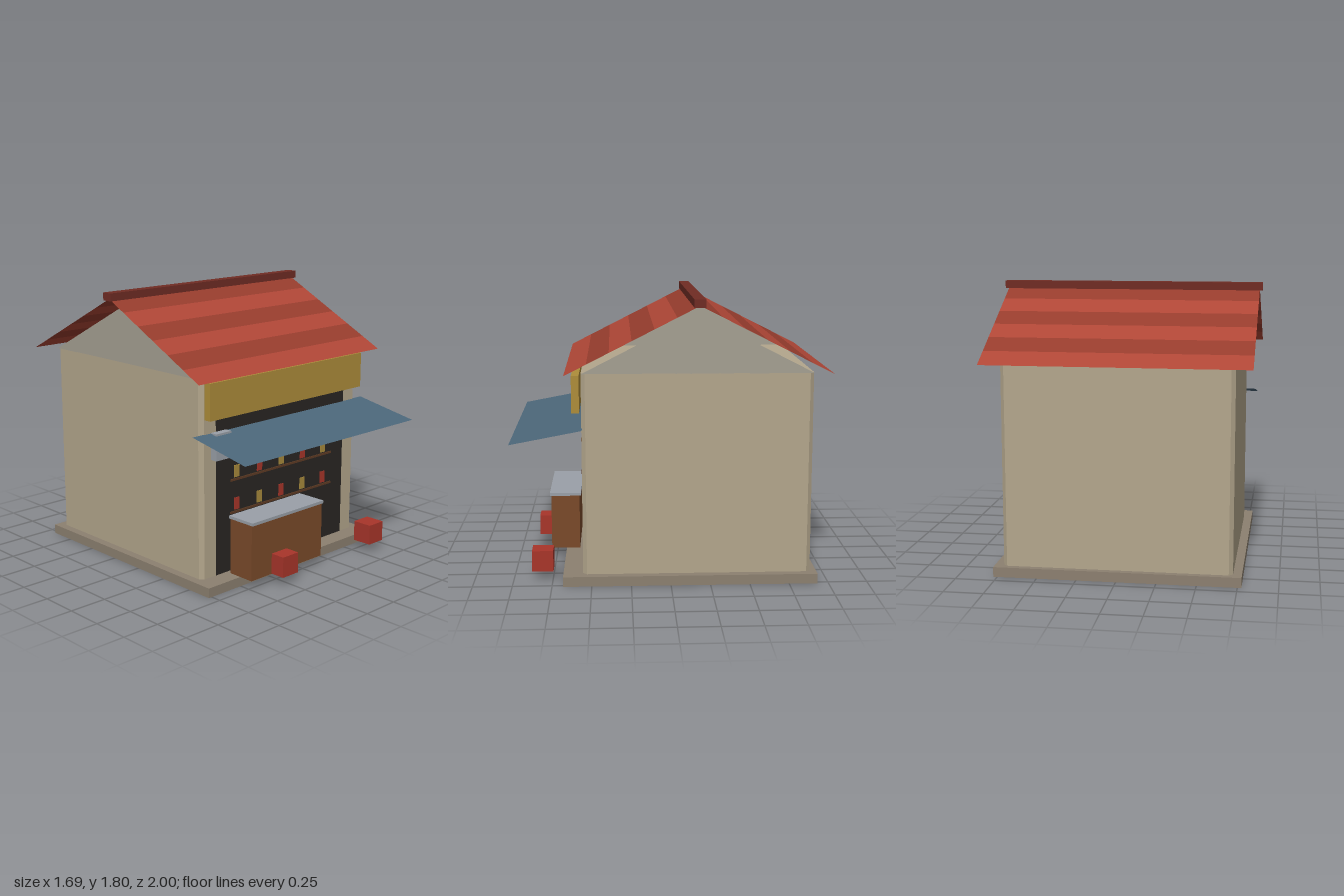
import * as THREE from 'three';

const mat = (color, side = THREE.FrontSide) =>
  new THREE.MeshStandardMaterial({ color, side, flatShading: true });

const M = {
  wall: mat(0xb3a68c), gable: mat(0xa5a092, THREE.DoubleSide), base: mat(0x8c8070),
  roofLight: mat(0xaf4636, THREE.DoubleSide), roofDark: mat(0x963c2d, THREE.DoubleSide),
  ridge: mat(0x702c24), awning: mat(0x4c677a, THREE.DoubleSide), sign: mat(0xae8d3a),
  dark: mat(0x2a2623), wood: mat(0x7a4a2a), shelf: mat(0x5e3b24), metal: mat(0x9aa0a8),
  red: mat(0xa8352a), yellow: mat(0xa88a3c),
};

export function createModel() {
  const model = new THREE.Group();

  const add = (name, geometry, material, parent = model) => {
    const mesh = new THREE.Mesh(geometry, material);
    mesh.name = name;
    parent.add(mesh);
    return mesh;
  };

  // Box given by its extents along each axis
  const box = (name, [x0, x1], [y0, y1], [z0, z1], material, parent) => {
    const mesh = add(name, new THREE.BoxGeometry(x1 - x0, y1 - y0, z1 - z0), material, parent);
    mesh.position.set((x0 + x1) / 2, (y0 + y1) / 2, (z0 + z1) / 2);
    return mesh;
  };

  // Thin sheet spanning x = -w..w between two (y, z) edges
  const sheet = (name, w, [ya, za], [yb, zb], material, parent) => {
    const g = new THREE.BufferGeometry();
    g.setAttribute('position', new THREE.Float32BufferAttribute(
      [-w, ya, za, -w, yb, zb, w, yb, zb, w, ya, za], 3));
    g.setIndex([0, 1, 2, 0, 2, 3]);
    g.computeVertexNormals();
    return add(name, g, material, parent);
  };

  // Ground slab
  box('base', [-0.775, 0.775], [0, 0.063], [-0.93, 0.68], M.base);

  // Walls: rectangular plan with chamfered corners, extruded upwards
  const W = 0.72, zFront = 0.555, zBack = -0.89, zMid = -0.1675, c = 0.025;
  const plan = new THREE.Shape([
    [-W + c, -zFront], [W - c, -zFront], [W, -zFront + c], [W, -zBack - c],
    [W - c, -zBack], [-W + c, -zBack], [-W, -zBack - c], [-W, -zFront + c],
  ].map(([x, y]) => new THREE.Vector2(x, y)));
  const walls = add('walls', new THREE.ExtrudeGeometry(plan,
    { depth: 1.28, bevelEnabled: false }), M.wall);
  walls.rotation.x = -Math.PI / 2;
  walls.position.y = 0.062;

  // Gable triangles on both sides
  const half = (zFront - zBack) / 2;
  const triangle = new THREE.Shape([
    new THREE.Vector2(-half, 0), new THREE.Vector2(half, 0), new THREE.Vector2(0, 0.37)]);
  for (const s of [1, -1]) {
    const gable = add(s > 0 ? 'leftGable' : 'rightGable',
      new THREE.ShapeGeometry(triangle), M.gable);
    gable.rotation.y = s * Math.PI / 2;
    gable.position.set(s * W, 1.34, zMid);
  }

  // Roof: two thin slopes, each of six alternating bands
  const roof = new THREE.Group();
  roof.name = 'roof';
  model.add(roof);
  const bands = 6, run = 0.828, ridgeY = 1.765, eaveY = 1.345, zRidge = -0.172;
  for (const s of [1, -1]) {
    const at = (t) => [ridgeY + (eaveY - ridgeY) * t, zRidge + s * run * t];
    for (let i = 0; i < bands; i++) {
      const edges = [at(i / bands), at((i + 1) / bands)];
      if (s < 0) edges.reverse();
      // Order of edges keeps the upper face in front
      sheet('roofBand', 0.828, edges[0], edges[1], i % 2 ? M.roofLight : M.roofDark, roof);
    }
  }
  box('ridgeCap', [-0.847, 0.847], [1.755, 1.805], [-0.207, -0.135], M.ridge, roof);

  // Shop front
  box('signBoard', [-0.7, 0.7], [1.095, 1.328], [0.567, 0.615], M.sign);
  box('shopOpening', [-0.597, 0.593], [0.063, 1.09], [0.53, 0.557], M.dark);
  sheet('awning', 0.785, [1.0, 0.55], [0.915, 1.0], M.awning);
  box('wallUnit', [-0.64, -0.513], [0.832, 1.003], [0.557, 0.605], M.metal);

  // Shelves with alternating goods
  const shelves = new THREE.Group();
  shelves.name = 'shelves';
  model.add(shelves);
  [0.443, 0.657, 0.87].forEach((y, row) => {
    box('shelf', [-0.475, 0.473], [y, y + 0.014], [0.53, 0.564], M.shelf, shelves);
    for (let i = 0; i < 5; i++) {
      const x = -0.42 + i * 0.2025;
      box('goods', [x - 0.022, x + 0.022], [y + 0.022, y + 0.1], [0.535, 0.563],
        (i + row) % 2 ? M.yellow : M.red, shelves);
    }
  });

  // Counter
  box('counter', [-0.505, 0.142], [0.063, 0.43], [0.59, 0.78], M.wood);
  box('counterTop', [-0.508, 0.145], [0.428, 0.447], [0.58, 0.79], M.metal);

  // Crates in front
  for (const x of [-0.257, 0.592]) {
    box('crate', [x - 0.068, x + 0.068], [0.065, 0.2], [0.745, 0.88], M.red);
  }

  return model;
}
